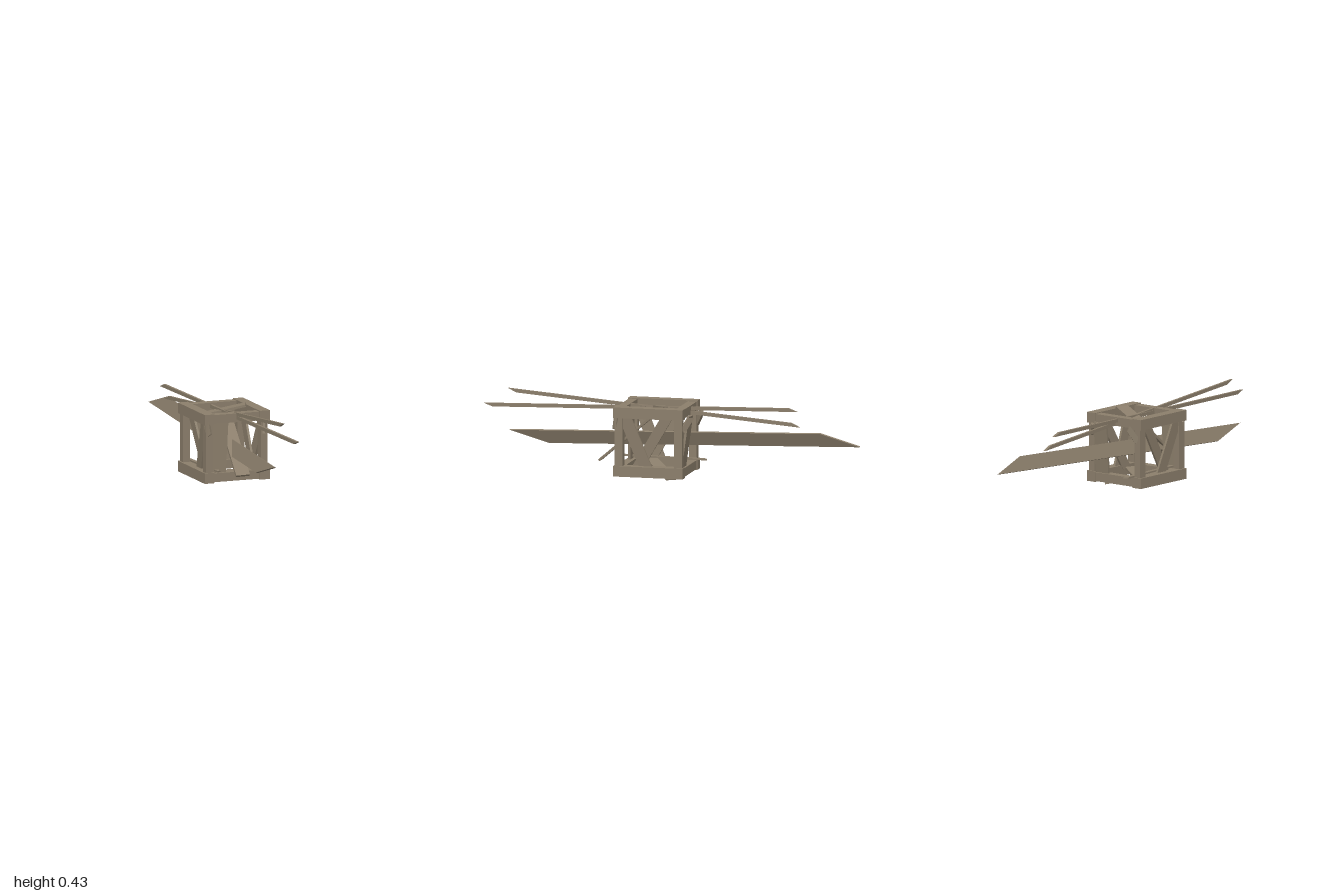
import * as THREE from 'three';

const wood = new THREE.MeshStandardMaterial({ color: 0x8b7e6b, flatShading: true });
const CZ = 0.092; // depth centre of the crate

export function createModel() {
  const model = new THREE.Group();

  const beam = (name, w, h, d, x, y, z) => {
    const mesh = new THREE.Mesh(new THREE.BoxGeometry(w, h, d), wood);
    mesh.name = name;
    mesh.position.set(x, y, z);
    model.add(mesh);
  };

  // Board running from a to b, facing "normal"; skew slants both ends
  const plank = (name, a, b, width, thick, normal, skew = 0) => {
    const A = new THREE.Vector3(...a), B = new THREE.Vector3(...b);
    const Y = B.clone().sub(A), length = Y.length();
    Y.normalize();
    const X = Y.clone().cross(new THREE.Vector3(...normal)).normalize();
    const Z = X.clone().cross(Y);
    const geo = new THREE.BoxGeometry(width, length, thick);
    const p = geo.attributes.position;
    for (let i = 0; i < p.count; i++) p.setY(i, p.getY(i) + p.getX(i) * skew);
    geo.computeVertexNormals();
    const mesh = new THREE.Mesh(geo, wood);
    mesh.name = name;
    mesh.applyMatrix4(new THREE.Matrix4().makeBasis(X, Y, Z)
      .setPosition(A.add(B).multiplyScalar(0.5)));
    model.add(mesh);
  };

  // Crate frame: side rails, cross rails and corner posts
  for (const s of [-1, 1]) {
    for (const y of [0.05, 0.356]) {
      beam('sideRail', 0.055, 0.055, 0.37, s * 0.153, y, CZ);
      beam('crossRail', 0.252, 0.046, 0.046, 0, y, CZ + s * 0.158);
    }
    for (const t of [-1, 1]) {
      beam('cornerPost', 0.038, 0.254, 0.042, s * 0.152, 0.203, CZ + t * 0.158);
    }
  }

  // Front boards: one still in place, one swung outwards at the bottom
  plank('frontBoard', [-0.1, 0.065, 0.253], [-0.082, 0.345, 0.247], 0.086, 0.012, [0, 0, 1]);
  plank('looseFrontBoard', [-0.017, 0.075, 0.395], [0.005, 0.335, 0.09], 0.076, 0.012, [0, 0.76, 0.65], 0.08);

  // Back board, leaning out at the top
  plank('backBoard', [0.092, 0.07, -0.072], [0.077, 0.338, -0.105], 0.085, 0.012, [0, 0, 1]);

  // Crossed boards on both sides
  for (const s of [-1, 1]) {
    const n = [s, 0, 0];
    plank('sideBoard', [s * 0.142, 0.065, 0.11], [s * 0.16, 0.335, 0.22], 0.062, 0.012, n);
    plank('sideBoard', [s * 0.13, 0.065, 0.16], [s * 0.142, 0.335, 0.0], 0.055, 0.012, n);
    plank('sideSplinter', [s * 0.155, 0.27, 0.272], [s * 0.162, 0.335, 0.262], 0.03, 0.014, [s, 0, 0.8], 0.6);
    plank('sideSplinter', [s * 0.15, 0.27, -0.085], [s * 0.12, 0.335, -0.12], 0.03, 0.014, [s, 0, -0.8], 0.6);
  }

  // Crooked floor and lid boards
  plank('floorBoard', [0.117, 0.012, -0.02], [-0.115, 0.07, 0.15], 0.065, 0.012, [0, 1, 0]);
  plank('floorBoard', [-0.12, 0.024, 0.02], [0.115, 0.06, 0.18], 0.06, 0.012, [0, 1, 0]);
  plank('floorSplinter', [-0.11, 0.087, 0.3], [-0.12, 0.08, -0.14], 0.022, 0.008, [0, 1, 0], 0.8);
  plank('lidBoard', [0.115, 0.388, 0.11], [-0.12, 0.328, 0.01], 0.07, 0.012, [0, 1, 0]);

  // Long board and two thin laths thrust through the crate
  plank('longBoard', [-0.045, 0.176, 0.78], [0.0375, 0.2385, -0.895], 0.077, 0.01, [0.92, -0.4, 0], 2.6);
  plank('lath', [0.014, 0.422, 0.855], [-0.012, 0.298, -0.645], 0.018, 0.013, [1, 0, 0], 2.5);
  plank('lath', [0.046, 0.347, 0.975], [-0.05, 0.37, -0.62], 0.018, 0.014, [1, 0, 0], 2.5);

  return model;
}
